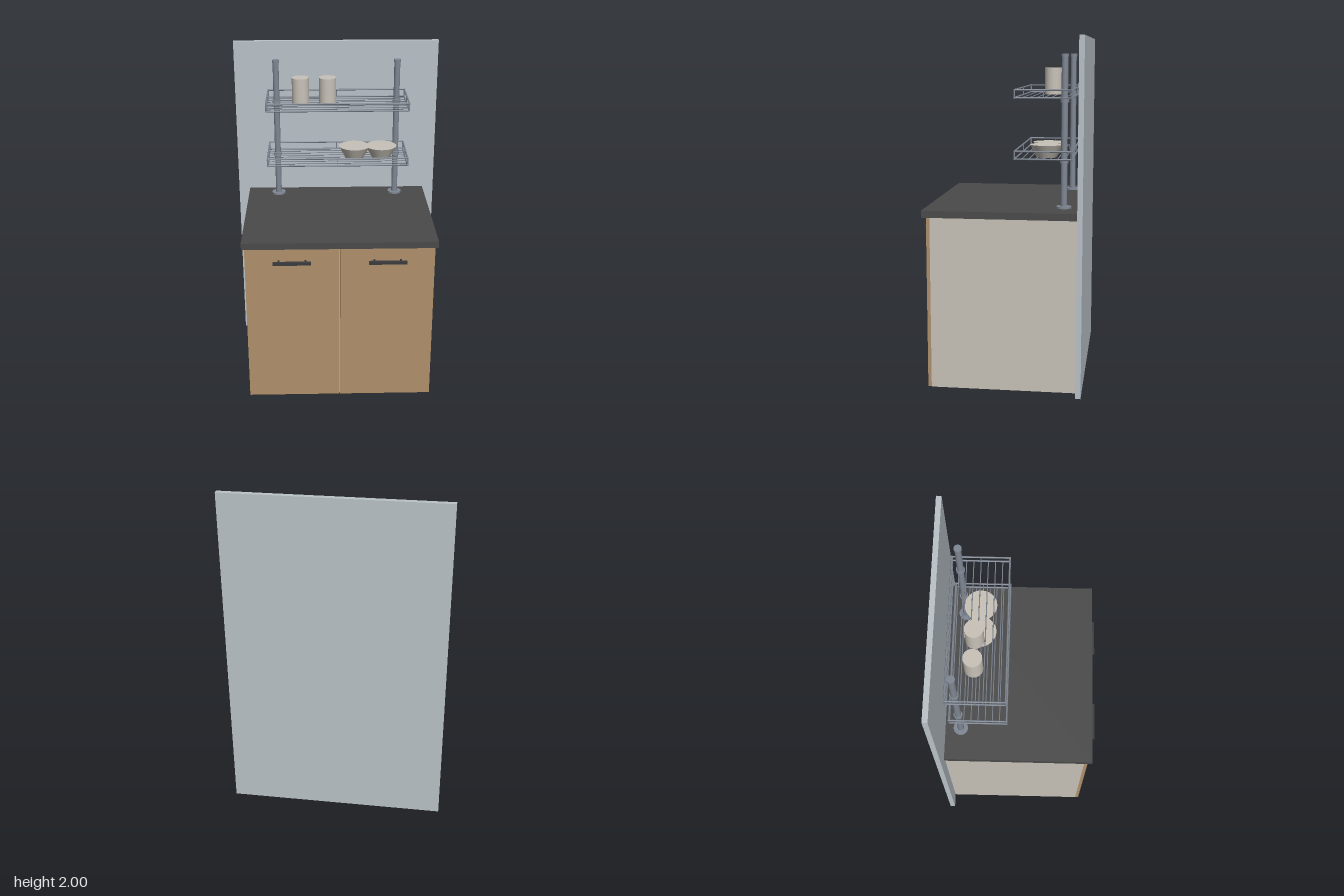
import * as THREE from 'three';

export function createModel() {
  const model = new THREE.Group();
  model.name = 'kitchenCounterUnit';
  const mat = (name, color) => {
    const m = new THREE.MeshStandardMaterial({ color });
    m.name = name;
    return m;
  };
  const wallBlue = mat('paleBlueGrey', 0xbac3c9);
  const wood = mat('oakWood', 0xb0906c);
  const cream = mat('cream', 0xc8c2b8);
  const charcoal = mat('charcoal', 0x4a4a4a);
  const black = mat('handleBlack', 0x3a3b3e);
  const steel = mat('steel', 0x7f8793);

  const add = (parent, name, geo, material, x, y, z) => {
    const mesh = new THREE.Mesh(geo, material);
    mesh.name = name;
    mesh.position.set(x, y, z);
    parent.add(mesh);
    return mesh;
  };
  // Box given by its min and max corners
  const box = (parent, name, material, x0, x1, y0, y1, z0, z1) =>
    add(parent, name, new THREE.BoxGeometry(x1 - x0, y1 - y0, z1 - z0), material,
      (x0 + x1) / 2, (y0 + y1) / 2, (z0 + z1) / 2);
  // Upright cylinder from y0 to y1
  const column = (parent, name, material, rBottom, rTop, x, y0, y1, z, sides = 32) =>
    add(parent, name, new THREE.CylinderGeometry(rTop, rBottom, y1 - y0, sides), material, x, (y0 + y1) / 2, z);
  // Thin round wire between two points
  const wire = (parent, name, r, a, b) => {
    const from = new THREE.Vector3(...a), to = new THREE.Vector3(...b);
    const dir = to.clone().sub(from);
    const mesh = add(parent, name, new THREE.CylinderGeometry(r, r, dir.length(), 10), steel, 0, 0, 0);
    mesh.position.copy(from).add(to).multiplyScalar(0.5);
    mesh.quaternion.setFromUnitVectors(new THREE.Vector3(0, 1, 0), dir.normalize());
  };

  // Wall panel, cabinet and worktop
  box(model, 'wallPanel', wallBlue, -0.635, 0.635, 0, 2, -0.465, -0.435);
  box(model, 'cabinetBody', cream, -0.55, 0.55, 0, 0.995, -0.435, 0.4);
  box(model, 'worktop', charcoal, -0.565, 0.565, 0.995, 1.035, -0.435, 0.444);

  // Doors with bar handles
  for (const s of [-1, 1]) {
    const door = new THREE.Group();
    door.name = s < 0 ? 'rightDoor' : 'leftDoor';
    model.add(door);
    const c = s * 0.276;
    box(door, 'doorPanel', wood, c - 0.274, c + 0.274, 0.002, 0.993, 0.4, 0.42);
    box(door, 'handleBar', black, c - 0.11, c + 0.11, 0.903, 0.921, 0.448, 0.465);
    for (const t of [-1, 1]) {
      const post = add(door, 'handlePost', new THREE.CylinderGeometry(0.006, 0.006, 0.034, 12), black,
        c + t * 0.077, 0.912, 0.434);
      post.rotation.x = Math.PI / 2;
    }
  }

  // Upright posts with flange, collars and cap
  const shelfHeights = [1.317, 1.66];
  for (const x of [-0.373, 0.373]) {
    const upright = new THREE.Group();
    upright.name = x < 0 ? 'rightUpright' : 'leftUpright';
    model.add(upright);
    const z = -0.343;
    column(upright, 'post', steel, 0.0185, 0.0185, x, 1.035, 1.9, z);
    column(upright, 'flange', steel, 0.043, 0.043, x, 1.035, 1.046, z);
    column(upright, 'cap', steel, 0.022, 0.022, x, 1.888, 1.905, z);
    for (const y of shelfHeights) column(upright, 'collar', steel, 0.025, 0.025, x, y - 0.025, y - 0.003, z);
  }

  // Wire basket shelves
  const X = 0.425, zBack = -0.39, zFront = -0.065, zMid = (zBack + zFront) / 2;
  for (const y of shelfHeights) {
    const shelf = new THREE.Group();
    shelf.name = y < 1.5 ? 'lowerShelf' : 'upperShelf';
    model.add(shelf);
    const rim = y + 0.044;
    for (const h of [y, rim]) {
      for (const z of [zBack, zFront]) wire(shelf, 'longRail', 0.005, [-X - 0.005, h, z], [X + 0.005, h, z]);
      for (const x of [-X, X]) wire(shelf, 'endRail', 0.005, [x, h, zBack - 0.005], [x, h, zFront + 0.005]);
    }
    for (const x of [-X, 0, X])
      for (const z of [zBack, zFront]) wire(shelf, 'railStrut', x ? 0.005 : 0.003, [x, y, z], [x, rim, z]);
    for (const x of [-X, X]) wire(shelf, 'endStrut', 0.003, [x, y, zMid], [x, rim, zMid]);
    for (let i = 1; i < 8; i++) {
      const z = zBack + (i / 8) * (zFront - zBack);
      wire(shelf, 'shelfWire', 0.003, [-X, y, z], [X, y, z]);
    }
  }

  // Cups on the upper shelf, bowls on the lower one
  for (const x of [-0.222, -0.057]) column(model, 'cup', cream, 0.052, 0.052, x, 1.662, 1.82, -0.243);
  for (const x of [0.108, 0.274]) column(model, 'bowl', cream, 0.058, 0.096, x, 1.315, 1.388, -0.234);

  return model;
}
